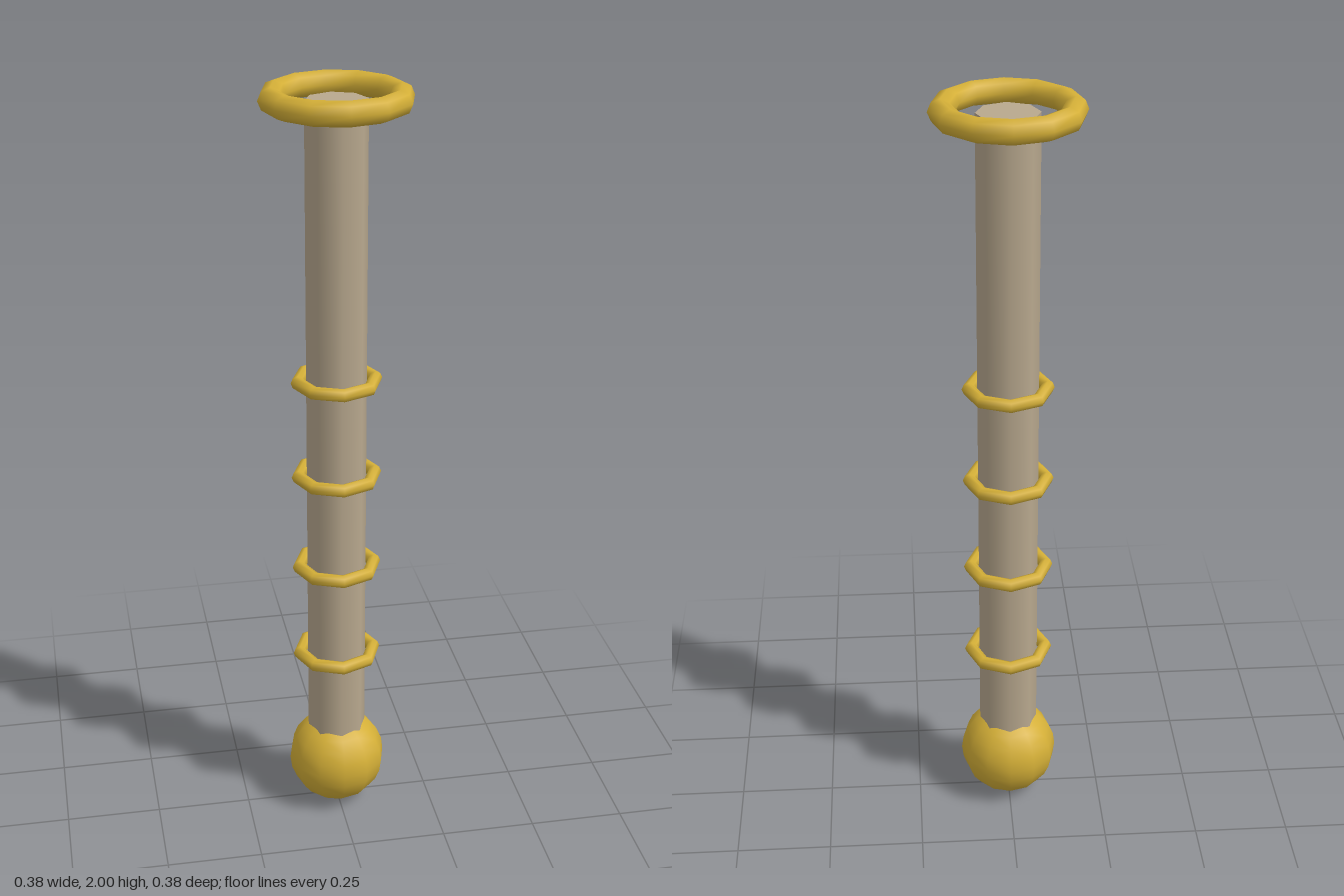
import * as THREE from 'three';

export function createModel() {
  const model = new THREE.Group();
  const gold = new THREE.MeshStandardMaterial({ color: 0xd4af37 });
  gold.name = 'gold';
  const stone = new THREE.MeshStandardMaterial({ color: 0xb8a88e });
  stone.name = 'paleStone';

  function add(name, geometry, material, y) {
    const mesh = new THREE.Mesh(geometry, material);
    mesh.name = name;
    mesh.position.y = y;
    model.add(mesh);
  }

  // A torus lying flat around the rod
  const flatRing = (radius, tube, sides) =>
    new THREE.TorusGeometry(radius, tube, 8, sides).rotateX(Math.PI / 2);

  // Eight-sided rod, sunk into the pommel
  const rodBottom = 0.13, rodTop = 1.965;
  add('rod', new THREE.CylinderGeometry(0.078, 0.078, rodTop - rodBottom, 8),
    stone, (rodBottom + rodTop) / 2);

  // Ball at the foot
  add('pommel', new THREE.SphereGeometry(0.13, 12, 12), gold, 0.13);

  // Four evenly spaced grip rings
  for (let i = 0; i < 4; i++) {
    add('gripRing' + (i + 1), flatRing(0.1, 0.0175, 8), gold, 0.463 + i * 0.2623);
  }

  // Wide open ring around the top end
  add('topRing', flatRing(0.158, 0.031, 12), gold, 1.969);

  return model;
}
